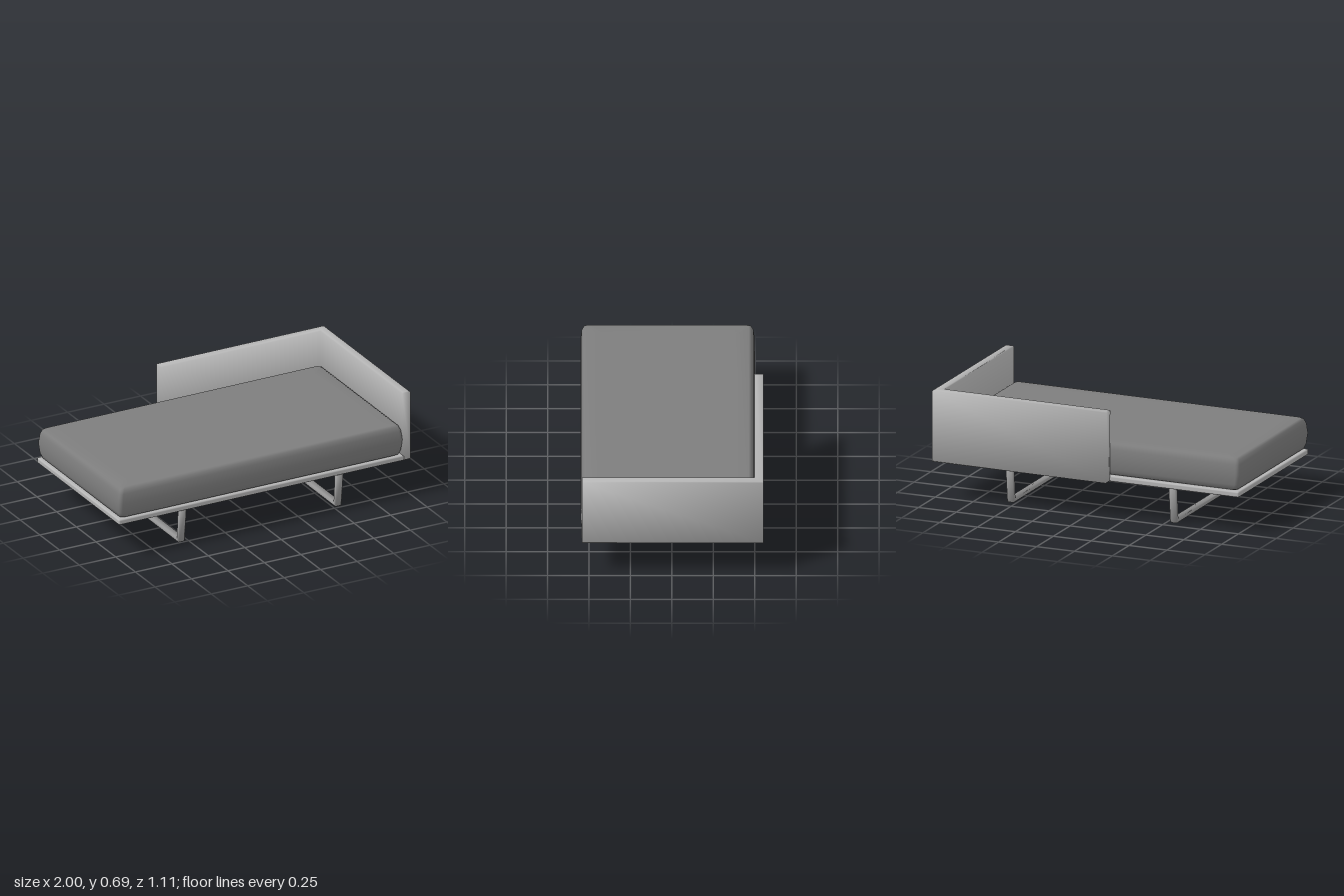
import * as THREE from 'three';
import { RoundedBoxGeometry } from 'three/addons/geometries/RoundedBoxGeometry.js';
import { toCreasedNormals } from 'three/addons/utils/BufferGeometryUtils.js';

const panelGrey = new THREE.MeshStandardMaterial({ color: 0xb6b6b6 });
const legGrey = new THREE.MeshStandardMaterial({ color: 0x9c9c9c });
const fabricGrey = new THREE.MeshStandardMaterial({ color: 0x7e7e7e });

function part(name, geometry, material, x = 0, y = 0, z = 0) {
  const mesh = new THREE.Mesh(geometry, material);
  mesh.name = name;
  mesh.position.set(x, y, z);
  return mesh;
}

const polygon = (points) => new THREE.Shape(points.map(([x, y]) => new THREE.Vector2(x, y)));

// Extrude with a small bevel, shaded softly across its edges, keeping the outline's outer size
function softExtrude(points, depth, r) {
  const geometry = new THREE.ExtrudeGeometry(polygon(points), {
    depth: depth - 2 * r, bevelSize: r, bevelThickness: r, bevelOffset: -r, bevelSegments: 1,
  });
  geometry.translate(0, 0, r);
  return toCreasedNormals(geometry, 1.7);
}

// Rectangle with rounded corners, counter-clockwise seen from above
function roundedRing(hx, hz, r, steps = 4) {
  const ring = [];
  for (let corner = 0; corner < 4; corner++) {
    const sx = corner === 0 || corner === 3 ? 1 : -1;
    const sz = corner < 2 ? 1 : -1;
    for (let i = 0; i <= steps; i++) {
      const a = (corner + i / steps) * Math.PI / 2;
      ring.push([sx * (hx - r) + r * Math.cos(a), sz * (hz - r) + r * Math.sin(a)]);
    }
  }
  return ring;
}

// Cushion: stacked rounded rectangles, inset by a bulging profile of [inset, height]
function cushionGeometry(width, depth, profile) {
  const positions = [], index = [];
  let n = 0;
  for (const [inset, y] of profile) {
    const ring = roundedRing(width / 2 - inset, depth / 2 - inset, 0.025);
    n = ring.length;
    for (const [x, z] of ring) positions.push(x, y, -z);
  }
  for (let j = 0; j < profile.length - 1; j++) {
    for (let i = 0; i < n; i++) {
      const a = j * n + i, b = j * n + (i + 1) % n;
      index.push(a, b, b + n, a, b + n, a + n);
    }
  }
  const last = (profile.length - 1) * n;
  const bottom = positions.length / 3, top = bottom + 1;
  positions.push(0, profile[0][1], 0, 0, profile[profile.length - 1][1], 0);
  for (let i = 0; i < n; i++) {
    const k = (i + 1) % n;
    index.push(bottom, k, i, top, last + i, last + k);
  }
  const geometry = new THREE.BufferGeometry();
  geometry.setAttribute('position', new THREE.Float32BufferAttribute(positions, 3));
  geometry.setIndex(index);
  geometry.computeVertexNormals();
  return geometry;
}

export function createModel() {
  const model = new THREE.Group();
  model.name = 'daybed';

  // Thin base board under the mattress
  const board = new RoundedBoxGeometry(1.96, 0.036, 1.045, 3, 0.01);
  model.add(part('platform', board, panelGrey, -0.02, 0.249, 0.0225));

  // Mattress with bulging sides
  const profile = [
    [0.12, 0.267], [0.03, 0.267], [0.018, 0.275], [0.007, 0.305], [0, 0.37],
    [0.007, 0.43], [0.018, 0.457], [0.034, 0.467], [0.12, 0.469],
  ];
  model.add(part('mattress', cushionGeometry(1.95, 1.05, profile), fabricGrey, -0.025, 0, 0.027));

  // L-shaped wall: full end panel and partial back panel
  const wall = softExtrude([
    [1, -0.543], [1, 0.553], [-0.15, 0.553], [-0.15, 0.497], [0.945, 0.497], [0.945, -0.543],
  ], 0.45, 0.006);
  wall.rotateX(-Math.PI / 2);
  model.add(part('endAndBackPanel', wall, panelGrey, 0, 0.231, 0));

  // Two sled legs: flat bar bent into a U with sloping uprights
  const sled = softExtrude([
    [0.518, 0.235], [0.492, 0], [-0.436, 0], [-0.465, 0.235],
    [-0.439, 0.235], [-0.418, 0.025], [0.474, 0.025], [0.492, 0.235],
  ], 0.05, 0.006);
  sled.rotateY(-Math.PI / 2);
  for (const [name, x] of [['rightSledLeg', -0.545], ['leftSledLeg', 0.53]]) {
    model.add(part(name, sled, legGrey, x + 0.025, 0.003, 0));
  }

  // Very slight lean to one side
  model.rotation.z = 0.005;
  return model;
}
